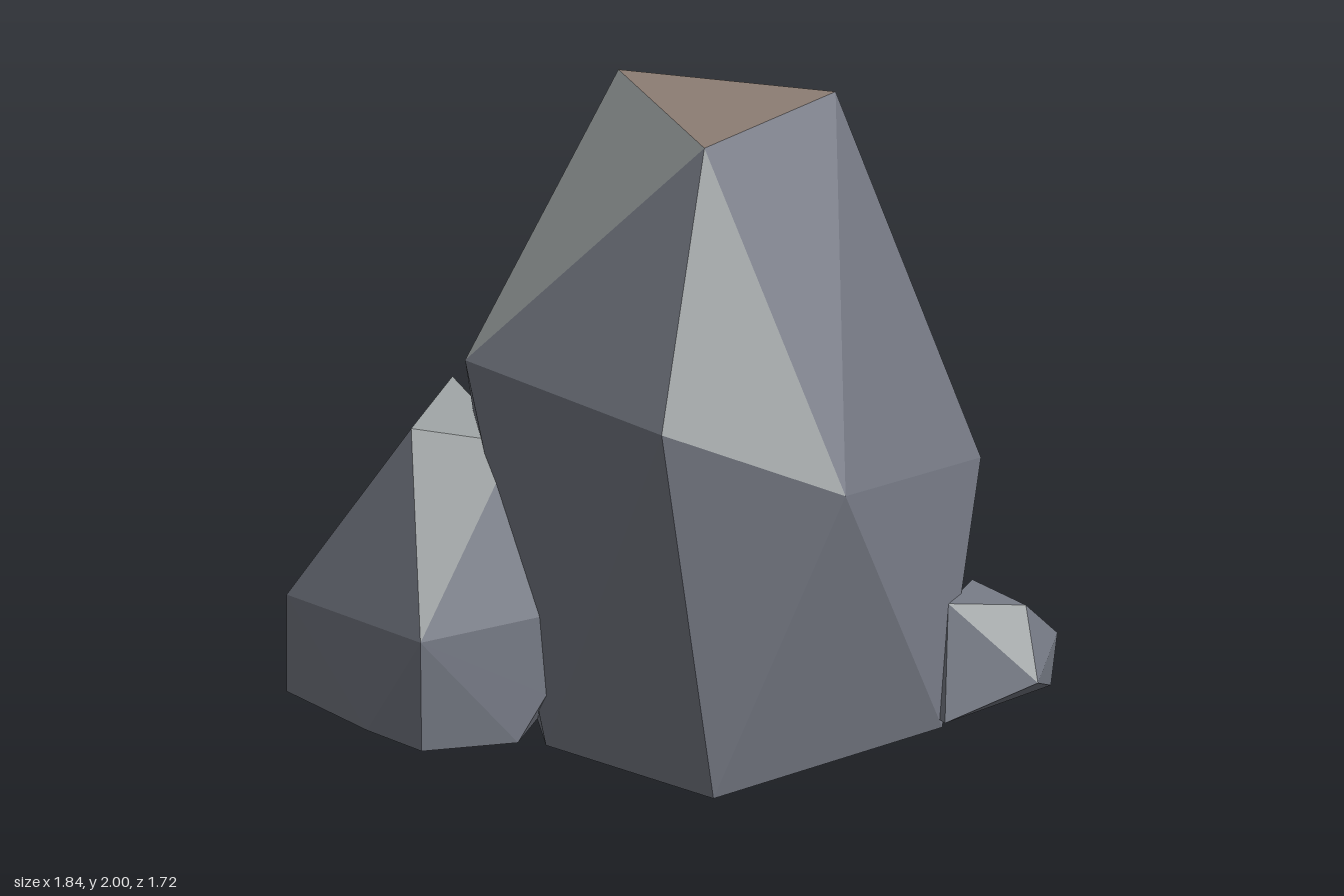
import * as THREE from 'three';
import { ConvexGeometry } from 'three/addons/geometries/ConvexGeometry.js';

function stone(name, color) {
  const m = new THREE.MeshStandardMaterial({ color });
  m.name = name;
  return m;
}

// Faceted boulder: convex hull of named corners, with chosen facets painted.
// Facets are written as three corner letters, e.g. 'abc'.
function boulder(name, corners, materials, paint) {
  const names = Object.keys(corners);
  const points = names.map((k) => new THREE.Vector3(...corners[k]));
  const geometry = new ConvexGeometry(points);
  const pos = geometry.getAttribute('position');
  const v = new THREE.Vector3();
  const cornerAt = (i) => {
    v.fromBufferAttribute(pos, i);
    return names[points.findIndex((p) => p.distanceTo(v) < 1e-4)];
  };
  const sorted = (s) => [...s].sort().join('');
  const lookup = {};
  paint.forEach((list, i) => list.forEach((f) => { lookup[sorted(f)] = i + 1; }));
  for (let i = 0; i < pos.count; i += 3) {
    const key = sorted(cornerAt(i) + cornerAt(i + 1) + cornerAt(i + 2));
    geometry.addGroup(i, 3, lookup[key] || 0);
  }
  const mesh = new THREE.Mesh(geometry, materials);
  mesh.name = name;
  return mesh;
}

export function createModel() {
  const group = new THREE.Group();
  group.name = 'rockCluster';
  const materials = [
    stone('blue grey stone', 0x777b86),
    stone('pale grey stone', 0x9a9fa0),
    stone('brown stone', 0x8c7d73),
  ];

  // Tall rock: crown a-c, waist A-G, foot p-u
  group.add(boulder('tallRock', {
    a: [-0.24, 2, 0.01], b: [0.34, 2, -0.32], c: [0.28, 1.97, 0.19],
    A: [-0.77, 0.72, -0.23], C: [-0.09, 0.98, -0.86], D: [0.57, 0.73, -0.71],
    E: [0.82, 0.98, 0.15], F: [0.46, 1.21, 0.57], G: [-0.40, 1.16, 0.51],
    p: [-0.69, 0, 0.01], q: [-0.06, 0, 0.52], r: [0.56, 0, 0.45],
    s: [0.72, 0, -0.38], t: [0.08, 0, -0.75], u: [-0.49, 0, -0.61],
  }, materials, [['aGc', 'cFE', 'abC'], ['abc', 'ApG', 'Apu']]));

  // Medium rock leaning on the front
  group.add(boulder('mediumRock', {
    a: [-0.48, 0.96, 0.66], b: [-0.61, 0.98, 0.34], c: [-0.27, 0.90, 0.43],
    A: [-0.84, 0.35, 0.82], B: [-0.26, 0.39, 0.855], C: [-0.07, 0.42, 0.50],
    D: [-0.92, 0.50, 0.40], E: [-0.58, 0.45, 0.13], F: [-0.055, 0.17, 0.52],
    p: [-0.92, 0.03, 0.52], q: [-0.84, 0.03, 0.82], r: [-0.48, 0.03, 0.855],
    s: [-0.26, 0.03, 0.85], t: [-0.09, 0.03, 0.61], u: [-0.25, 0.03, 0.25],
    w: [-0.70, 0.03, 0.25],
  }, materials, [['aBc', 'abc'], []]));

  // Small rock at the back
  group.add(boulder('smallRock', {
    a: [0.81, 0.34, -0.65], b: [0.60, 0.36, -0.64], c: [0.67, 0.365, -0.46],
    A: [0.92, 0.14, -0.585], B: [0.78, 0.18, -0.82], C: [0.46, 0.20, -0.75],
    p: [0.75, 0.03, -0.36], q: [0.80, 0.03, -0.77], r: [0.52, 0.03, -0.72],
    s: [0.50, 0.03, -0.42],
  }, materials, [['acA'], []]));

  return group;
}
